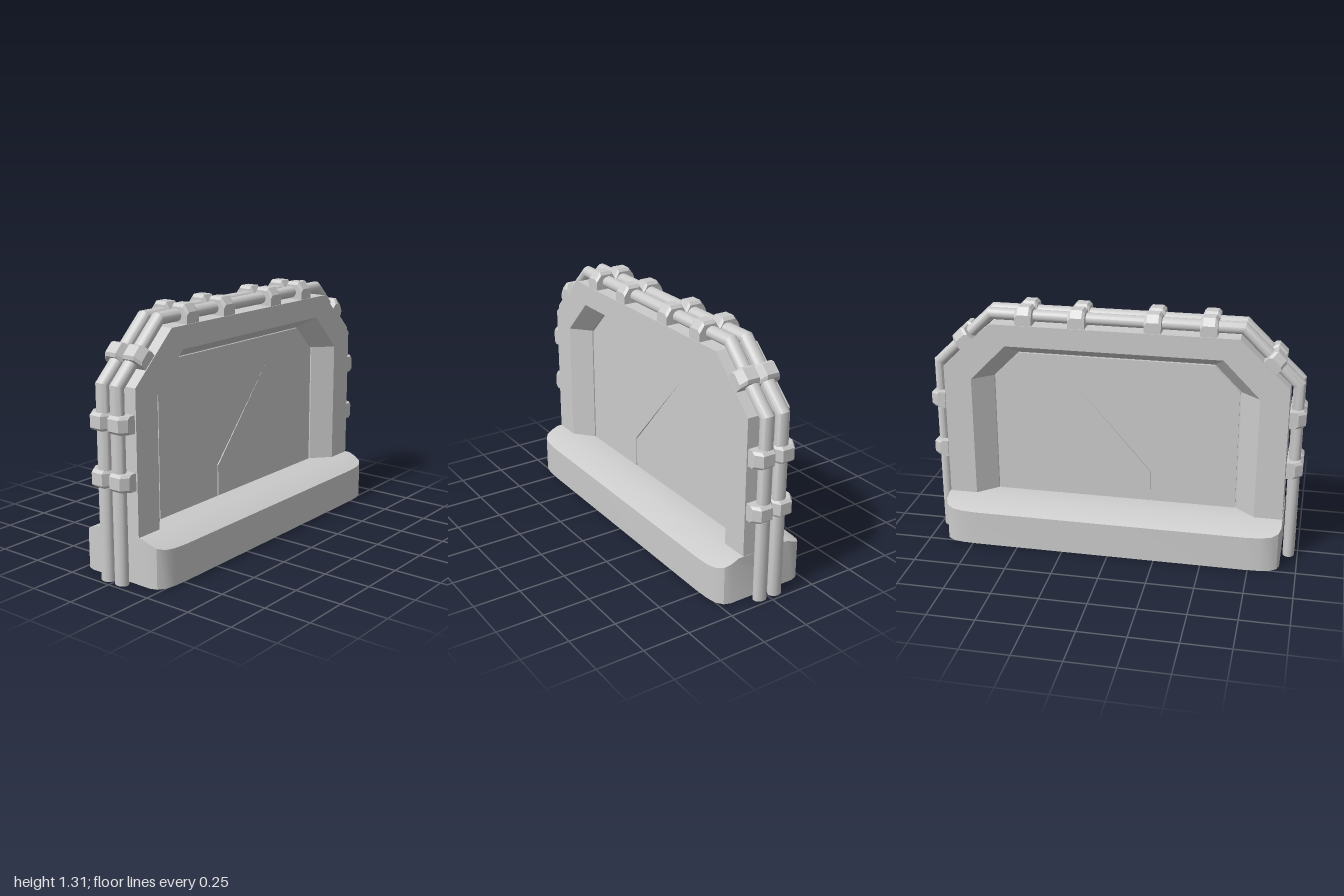
import * as THREE from 'three';
import { toCreasedNormals } from 'three/addons/utils/BufferGeometryUtils.js';

const material = new THREE.MeshStandardMaterial({ color: 0xcccccc });

function addMesh(parent, name, geometry) {
  const mesh = new THREE.Mesh(geometry, material);
  mesh.name = name;
  parent.add(mesh);
  return mesh;
}

// Skin a row of matching convex rings (counter-clockwise about the travel direction), capped at both ends
function loft(rings, crease = 0.6) {
  const n = rings[0].length;
  const last = rings.length - 1;
  const pos = [];
  const tri = (a, b, c) => pos.push(...a, ...b, ...c);
  for (let i = 0; i < last; i++) {
    for (let j = 0; j < n; j++) {
      const k = (j + 1) % n;
      tri(rings[i][j], rings[i][k], rings[i + 1][k]);
      tri(rings[i][j], rings[i + 1][k], rings[i + 1][j]);
    }
  }
  for (let j = 1; j < n - 1; j++) {
    tri(rings[0][0], rings[0][j + 1], rings[0][j]);
    tri(rings[last][0], rings[last][j], rings[last][j + 1]);
  }
  const geometry = new THREE.BufferGeometry();
  geometry.setAttribute('position', new THREE.Float32BufferAttribute(pos, 3));
  geometry.computeVertexNormals();
  return toCreasedNormals(geometry, crease);
}

// Six-point arch: up the left side, over the clipped corners, down the right side
function arch(halfWidth, bottom, shoulder, topHalf, top) {
  const left = [[-halfWidth, bottom], [-halfWidth, shoulder], [-topHalf, top]];
  return [...left, ...left.map(([x, y]) => [-x, y]).reverse()];
}

// Plinth with rounded plan corners and sloping front and back ledges
function buildBase() {
  const ends = [[0.912, 0.19], [0.9, 0.225], [0.865, 0.25], [0.81, 0.261], [0.73, 0.265]];
  const stations = [...ends.map(([x, d]) => [-x, d]), ...[...ends].reverse()];
  const ledge = (d) => 0.24 - 0.05 * (d - 0.15) / 0.115;
  return loft(stations.map(([x, d]) => [
    [x, 0, -d], [x, ledge(d), -d], [x, 0.24, -0.15],
    [x, 0.24, 0.15], [x, ledge(d), d], [x, 0, d],
  ]));
}

// Frame whose opening is bevelled on both faces
function buildFrame() {
  const outer = arch(0.91, 0.1, 0.97, 0.65, 1.215);
  const opening = arch(0.762, 0.1, 0.905, 0.57, 1.1);
  const inner = arch(0.66, 0.1, 0.905, 0.52, 1.045);
  return loft(outer.map((p, i) => [
    [...p, -0.122], [...p, 0.122], [...opening[i], 0.122],
    [...inner[i], 0.032], [...inner[i], -0.032], [...opening[i], -0.122],
  ]), 0.3);
}

function plate(points, halfDepth) {
  const shape = new THREE.Shape(points.map(([x, y]) => new THREE.Vector2(x, y)));
  const geometry = new THREE.ExtrudeGeometry(shape, { depth: 2 * halfDepth, bevelEnabled: false });
  return geometry.translate(0, 0, -halfDepth);
}

// Pipe with mitred bends, following the arch at depth z
function buildPipe(path, z) {
  const sides = 16;
  const dir = (a, b) => new THREE.Vector2(b[0] - a[0], b[1] - a[1]).normalize();
  const rings = path.map((p, i) => {
    const before = dir(path[Math.max(i - 1, 0)], path[Math.max(i, 1)]);
    const after = i < path.length - 1 ? dir(p, path[i + 1]) : before;
    const t = before.clone().add(after).normalize();
    const miter = 0.031 / t.dot(after);
    return Array.from({ length: sides }, (_, k) => {
      const a = (k / sides) * Math.PI * 2;
      const r = Math.cos(a) * miter;
      return [p[0] - t.y * r, p[1] + t.x * r, z + Math.sin(a) * 0.037];
    });
  });
  return loft(rings, 0.5);
}

// Clamp block around one pipe: x runs along the pipe, y points outward
function buildClamp(side, out) {
  const ring = (x, top) => {
    const pts = [
      [x, -0.038, 0.002], [x, top - 0.038, 0.002], [x, top, 0.024],
      [x, top, 0.09], [x, top - 0.038, 0.118], [x, -0.038, 0.118],
    ].map(([a, b, c]) => [a, b, c * side]);
    return side > 0 ? pts : pts.reverse();
  };
  return loft([ring(-0.044, out - 0.015), ring(-0.03, out), ring(0.03, out), ring(0.044, out - 0.015)], 0.2);
}

export function createModel() {
  const model = new THREE.Group();
  model.name = 'barrier';

  addMesh(model, 'base', buildBase());
  addMesh(model, 'frame', buildFrame());

  // Core sheet, covered by a raised panel with a bent slit
  addMesh(model, 'panelCore', plate(arch(0.665, 0.1, 0.907, 0.522, 1.05), 0.02));
  const slit = [[-0.193, 0.1], [-0.193, 0.408], [0.226, 0.89], [-0.199, 0.412], [-0.199, 0.1]];
  addMesh(model, 'panel', plate([...arch(0.653, 0.1, 0.902, 0.517, 1.038), ...slit], 0.03));

  // Twin pipes with their clamps
  const path = arch(0.952, 0, 0.973, 0.662, 1.253);
  const up = Math.PI / 2;
  const diagonal = Math.atan2(0.28, 0.29);
  const clamps = [
    [-0.952, 0.52, up, 0.046], [-0.952, 0.8, up, 0.046], [-0.825, 1.096, diagonal, 0.052],
    ...[-0.49, -0.205, 0.19, 0.47].map((x) => [x, 1.253, 0, 0.056]),
    [0.803, 1.117, -diagonal, 0.052], [0.952, 0.772, -up, 0.046], [0.952, 0.488, -up, 0.046],
  ];
  for (const side of [1, -1]) {
    const label = side > 0 ? 'front' : 'back';
    addMesh(model, label + 'Pipe', buildPipe(path, side * 0.045));
    for (const [x, y, angle, out] of clamps) {
      const clamp = addMesh(model, label + 'Clamp', buildClamp(side, out));
      clamp.position.set(x, y, 0);
      clamp.rotation.z = angle;
    }
  }
  return model;
}
